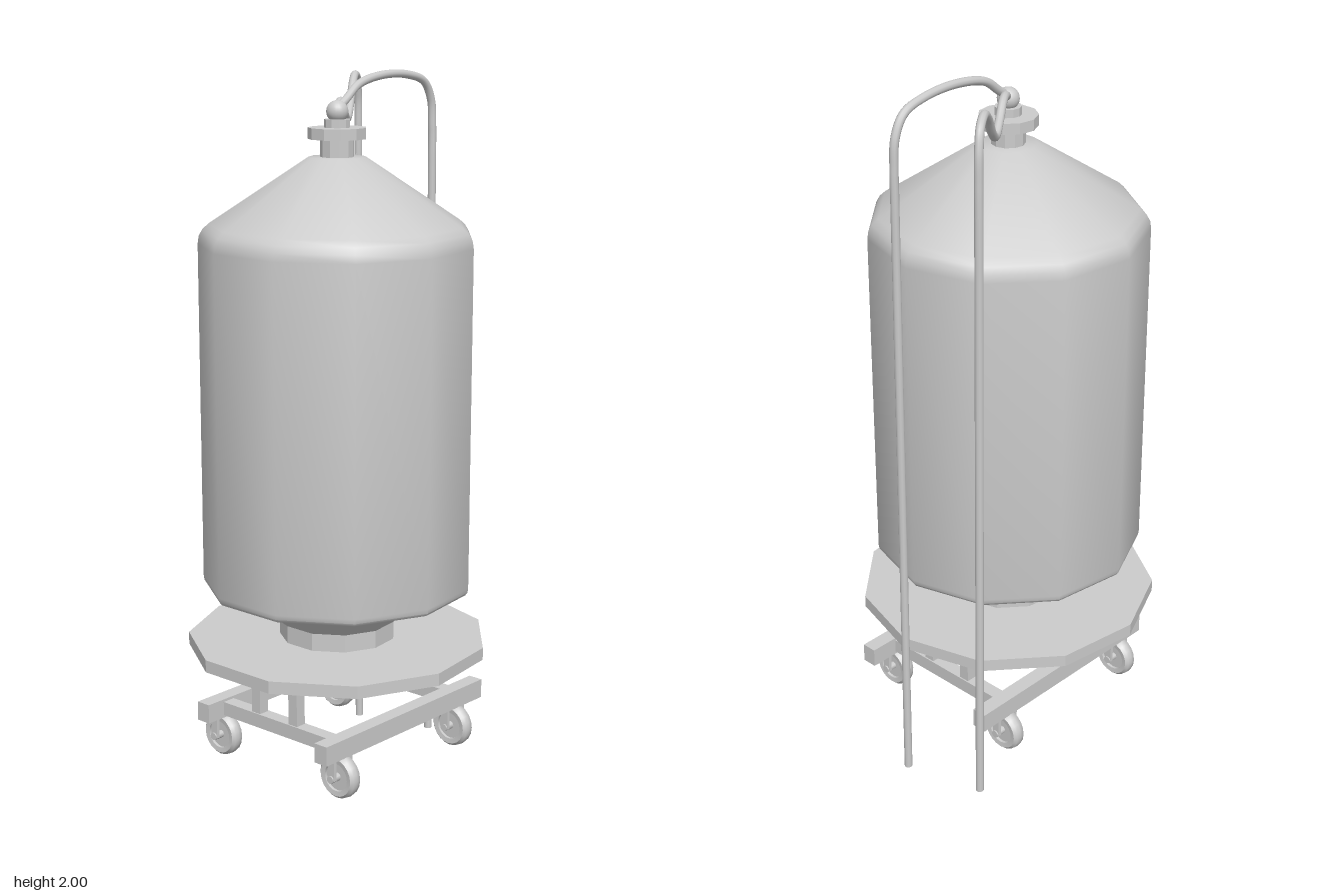
import * as THREE from 'three';
import { toCreasedNormals } from 'three/addons/utils/BufferGeometryUtils.js';

const SIDES = 11;   // the vessel and its plates are eleven-sided
const AXIS_X = -0.025;   // the vessel's upright axis

export function createModel() {
  const model = new THREE.Group();
  model.name = 'wheeledTank';
  const smooth = new THREE.MeshStandardMaterial({ color: 0xcccccc });
  const flat = new THREE.MeshStandardMaterial({ color: 0xcccccc, flatShading: true });

  function add(parent, name, geometry, material, x = 0, y = 0, z = 0) {
    const mesh = new THREE.Mesh(geometry, material);
    mesh.name = name;
    mesh.position.set(x, y, z);
    parent.add(mesh);
    return mesh;
  }
  const box = (parent, name, size, x, y, z) =>
    add(parent, name, new THREE.BoxGeometry(...size), flat, x, y, z);

  // Faceted disc or collar on the vessel axis, a corner pointing to +x
  function collar(name, radius, bottom, top) {
    const g = new THREE.CylinderGeometry(radius, radius, top - bottom, SIDES, 1, false, Math.PI / 2);
    return add(model, name, g, flat, AXIS_X, (bottom + top) / 2, 0);
  }

  // Vessel: lower cone, rounded base edge, wall, rounded shoulder, upper cone
  const profile = [
    [0, 0.48], [0.165, 0.48], [0.285, 0.576], [0.362, 0.576], [0.372, 0.579], [0.378, 0.587], [0.38, 0.6],
    [0.38, 1.545], [0.377, 1.566], [0.367, 1.584], [0.35, 1.6], [0.078, 1.78], [0, 1.78],
  ].map(([r, y]) => new THREE.Vector2(r, y));
  const vessel = new THREE.LatheGeometry(profile, SIDES, Math.PI / 2);
  add(model, 'vessel', toCreasedNormals(vessel, 0.65), smooth, AXIS_X, 0, 0);

  // Supporting plate, outlet collar, neck and flange
  collar('basePlate', 0.425, 0.395, 0.43);
  collar('outletCollar', 0.165, 0.43, 0.482);
  collar('neck', 0.046, 1.775, 1.83);
  collar('neckFlange', 0.08, 1.828, 1.858);
  collar('valveSeat', 0.036, 1.858, 1.88);
  add(model, 'valveBall', new THREE.SphereGeometry(0.03, 20, 14), smooth, AXIS_X, 1.9, 0);

  // Two pipes leaving the ball, arching over and running down to the ground
  function pipe(name, slope, points) {
    const r = 0.0115;
    const path = new THREE.CatmullRomCurve3(
      points.map(([x, y]) => new THREE.Vector3(x, y, slope * (x - AXIS_X))));
    const [topX, topY] = points[points.length - 1];
    const top = path.getPoint(1);
    const foot = new THREE.Vector3(topX + 0.011, 0, top.z);
    add(model, name + 'Bend', new THREE.TubeGeometry(path, 90, r, 10), smooth);
    const run = new THREE.CylinderGeometry(r, r, top.distanceTo(foot), 10);
    const mesh = add(model, name + 'Upright', run, smooth, topX + 0.0055, topY / 2, top.z);
    mesh.quaternion.setFromUnitVectors(new THREE.Vector3(0, 1, 0), top.clone().sub(foot).normalize());
  }
  pipe('archedPipe', -0.05, [
    [-0.02, 1.91], [0.012, 1.93], [0.065, 1.967], [0.17, 1.9885], [0.29, 1.985],
    [0.365, 1.962], [0.397, 1.91], [0.404, 1.83], [0.4045, 1.75],
  ]);
  pipe('wavyPipe', -0.675, [
    [-0.02, 1.905], [0.015, 1.923], [0.045, 1.92], [0.095, 1.885], [0.138, 1.867], [0.18, 1.893],
    [0.233, 1.955], [0.275, 1.98], [0.318, 1.966], [0.336, 1.915], [0.34, 1.83], [0.3405, 1.75],
  ]);

  // Trolley: two long rails, two cross bars, four posts up to the plate
  const trolley = new THREE.Group();
  trolley.name = 'trolley';
  model.add(trolley);
  const barXs = [-0.265, 0.225];
  const railZ = 0.225;
  for (const side of [-1, 1]) box(trolley, 'rail', [0.675, 0.055, 0.044], -0.007, 0.222, side * railZ);
  for (const x of barXs) {
    box(trolley, 'crossBar', [0.04, 0.04, 0.42], x, 0.222, 0);
    for (const z of [0.063, -0.078]) box(trolley, 'post', [0.032, 0.16, 0.032], x, 0.32, z);
  }

  // Casters: rounded tyre, recessed disc, hub and a two-armed fork
  const tyreProfile = [
    [0.04, -0.018], [0.054, -0.02], [0.061, -0.013], [0.063, 0], [0.061, 0.013], [0.054, 0.02], [0.04, 0.018], [0.04, -0.018],
  ].map(([r, y]) => new THREE.Vector2(r, y));
  const tyre = toCreasedNormals(new THREE.LatheGeometry(tyreProfile, 20), 0.7).rotateZ(Math.PI / 2);
  const disc = toCreasedNormals(new THREE.CylinderGeometry(0.042, 0.042, 0.02, 20), 0.7).rotateZ(Math.PI / 2);
  const hub = toCreasedNormals(new THREE.CylinderGeometry(0.011, 0.011, 0.084, 12), 0.7).rotateZ(Math.PI / 2);
  function caster(x, z) {
    const g = new THREE.Group();
    g.name = 'caster';
    g.position.set(x, 0.137, z);
    trolley.add(g);
    add(g, 'tyre', tyre, smooth);
    add(g, 'wheelDisc', disc, smooth);
    add(g, 'axle', hub, smooth);
    for (const side of [-1, 1]) box(g, 'forkArm', [0.01, 0.065, 0.022], side * 0.033, 0.028, 0);
    box(g, 'forkTop', [0.076, 0.01, 0.03], 0, 0.062, 0);
  }
  for (const x of barXs) for (const side of [-1, 1]) caster(x, side * railZ);

  return model;
}
